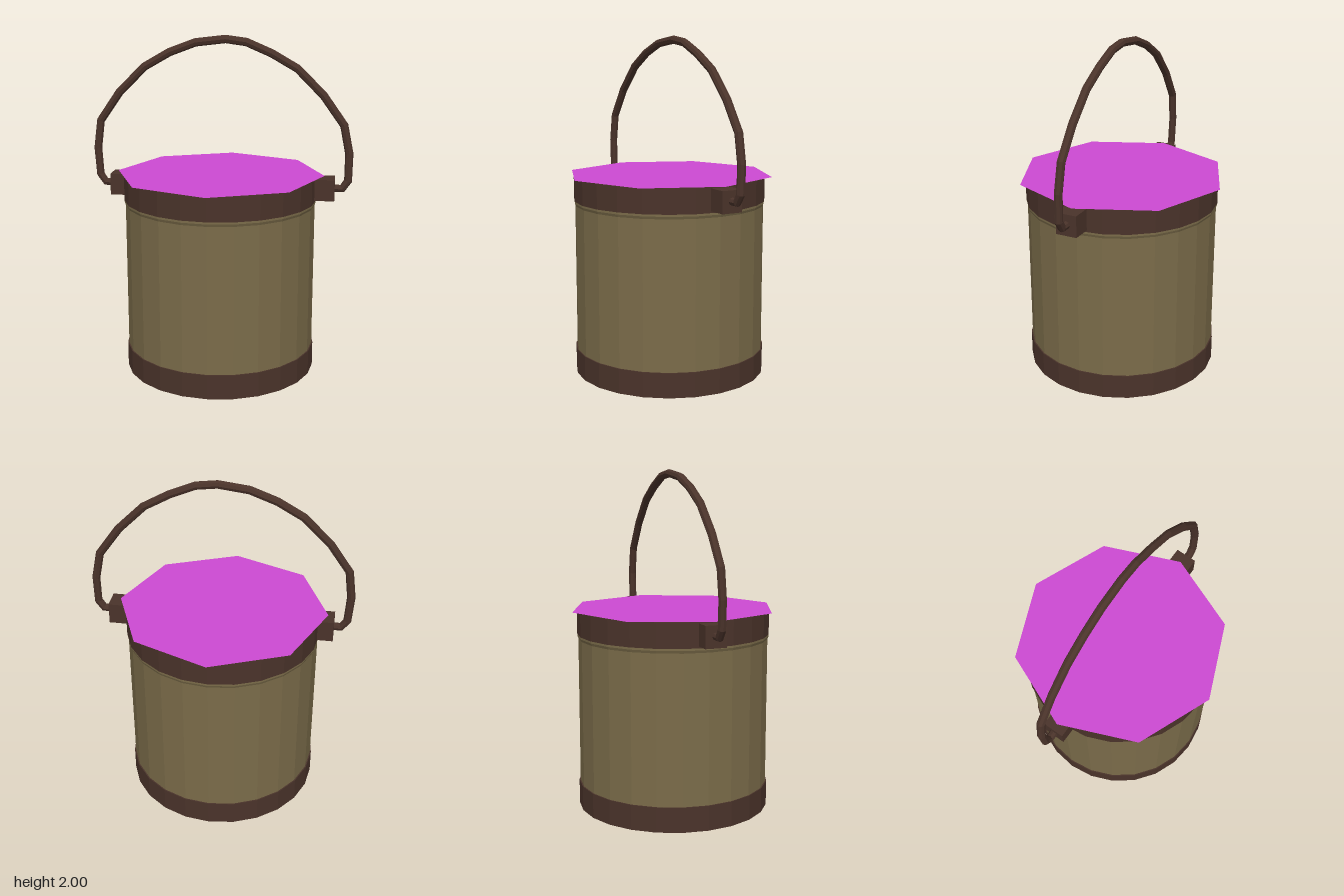
import * as THREE from 'three';

const SIDES = 24;
const CENTRE_X = -0.01;

const material = (color, side = THREE.FrontSide) =>
  new THREE.MeshStandardMaterial({ color, flatShading: true, side });
const darkWood = material(0x4a332a);
const paleWood = material(0x7a6b49);
const liquid = material(0xcc4ad2, THREE.DoubleSide);

// Polyline curve with rings placed exactly on its corners
class Polyline extends THREE.Curve {
  constructor(points) {
    super();
    this.points = points;
  }
  getPoint(t, target = new THREE.Vector3()) {
    const n = this.points.length - 1;
    const i = Math.min(Math.floor(t * n), n - 1);
    return target.lerpVectors(this.points[i], this.points[i + 1], t * n - i);
  }
  getPointAt(u, target) {
    return this.getPoint(u, target);
  }
  getTangentAt(u, target = new THREE.Vector3()) {
    const n = this.points.length - 1;
    const k = Math.round(u * n);
    target.set(0, 0, 0);
    for (const i of [k - 1, k]) {
      if (i < 0 || i >= n) continue;
      target.add(this.points[i + 1].clone().sub(this.points[i]).normalize());
    }
    return target.normalize();
  }
}

export function createModel() {
  const group = new THREE.Group();
  const add = (name, geometry, mat, x = CENTRE_X, y = 0, z = 0) => {
    const mesh = new THREE.Mesh(geometry, mat);
    mesh.name = name;
    mesh.position.set(x, y, z);
    group.add(mesh);
    return mesh;
  };
  const lathe = (profile) =>
    new THREE.LatheGeometry(profile.map(([r, y]) => new THREE.Vector2(r, y)), SIDES);

  // Bucket wall with a slight lip under the rim, hollow down to the floor
  add('wall', lathe([
    [0.563, 0.13], [0.563, 1.015], [0.569, 1.03], [0.569, 1.045],
    [0.53, 1.045], [0.53, 0.16], [0, 0.16],
  ]), paleWood);

  // Bands at the bottom and top
  add('baseBand', new THREE.CylinderGeometry(0.57, 0.57, 0.146, SIDES), darkWood, CENTRE_X, 0.073);
  add('rimBand', lathe([
    [0.53, 1.042], [0.57, 1.042], [0.57, 1.187], [0.53, 1.187], [0.53, 1.042],
  ]), darkWood);

  // Flat octagonal surface covering the opening
  add('liquidSurface', new THREE.CircleGeometry(0.617, 8).rotateX(-Math.PI / 2), liquid, CENTRE_X, 1.19);

  // Lugs that hold the handle
  add('leftLug', new THREE.BoxGeometry(0.14, 0.126, 0.126), darkWood, 0.598, 1.116);
  add('rightLug', new THREE.BoxGeometry(0.14, 0.126, 0.126), darkWood, -0.594, 1.116);

  // Bail handle, leaning slightly backwards towards its top
  const path = [
    [-0.63, 1.118], [-0.706, 1.118], [-0.738, 1.165], [-0.749, 1.325], [-0.728, 1.49],
    [-0.611, 1.66], [-0.458, 1.812], [-0.31, 1.897], [-0.156, 1.955], [0.019, 1.976],
    [0.14, 1.96], [0.288, 1.897], [0.437, 1.812], [0.59, 1.66], [0.712, 1.49],
    [0.746, 1.325], [0.744, 1.165], [0.712, 1.118], [0.63, 1.118],
  ].map(([x, y]) => new THREE.Vector3(x, y, -0.015 * (y - 1.118)));
  add('handle', new THREE.TubeGeometry(new Polyline(path), path.length - 1, 0.024, 8), darkWood, 0);

  return group;
}
